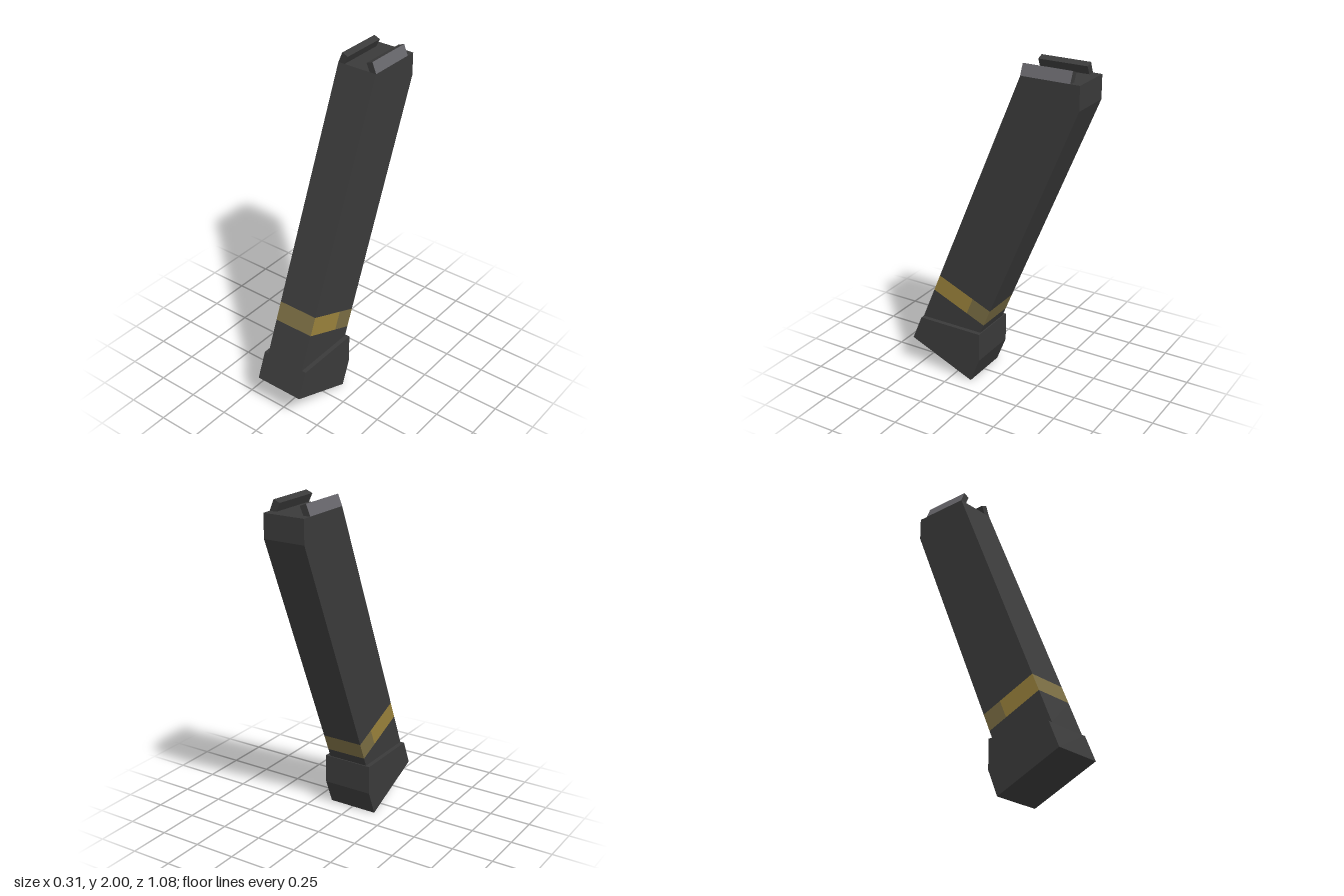
import * as THREE from 'three';

const flat = (name, color) => {
  const m = new THREE.MeshStandardMaterial({ color });
  m.name = name;
  return m;
};

export function createModel() {
  const body = flat('dark metal', 0x3a3a3a);
  const brass = flat('bright brass', 0x99813b);
  const dullBrass = flat('dull brass', 0x796c42);
  const railGrey = flat('rail grey', 0x66656a);

  const group = new THREE.Group();
  group.name = 'magazine';

  const shapeOf = pts => new THREE.Shape(pts.map(p => new THREE.Vector2(p[0], p[1])));

  // Side outline given as [z, y], extruded across x
  function slab(name, pts, width, materials) {
    const geo = new THREE.ExtrudeGeometry(shapeOf(pts), { depth: width, bevelEnabled: false });
    geo.translate(0, 0, -width / 2).rotateY(-Math.PI / 2);
    const mesh = new THREE.Mesh(geo, materials);
    mesh.name = name;
    group.add(mesh);
  }

  // Slanted casing edges: z at height y
  const slope = 2.418;
  const frontAt = y => [0.54 - (y - 0.175) / slope, y];
  const backAt = y => [0.07 - (y - 0.33) / slope, y];
  const mix = (a, b, t) => [a[0] + (b[0] - a[0]) * t, a[1] + (b[1] - a[1]) * t];

  // Foot of the magazine, wider than the casing
  slab('basePlate', [[0.54, 0.175], [0.125, 0], [0.063, 0.155], [0.063, 0.33], frontAt(0.33)], 0.306, body);

  // Casing, split where the brass band wraps round it
  const width = 0.252;
  const lowF = frontAt(0.53), lowB = backAt(0.385);
  const topF = frontAt(0.635), topB = backAt(0.49);
  const lowM = mix(lowF, lowB, 0.66), topM = mix(topF, topB, 0.66);
  slab('lowerCasing', [frontAt(0.33), backAt(0.33), lowB, lowF], width, body);
  slab('bandFront', [lowF, lowM, topM, topF], width, [brass, dullBrass]);
  slab('bandBack', [lowM, lowB, topB, topM], width, dullBrass);
  slab('upperCasing', [topF, topB, [-0.54, 1.8], [-0.54, 1.937], [-0.19, 1.937]], width, body);

  // Feed lips: leaning rails with a lighter outer face
  for (const s of [1, -1]) {
    const pts = [[0.126, 1.937], [0.1, 2], [0.062, 1.985], [0.084, 1.937]].map(p => [p[0] * s, p[1]]);
    const lip = new THREE.Mesh(
      new THREE.ExtrudeGeometry(shapeOf(pts), { depth: 0.295, bevelEnabled: false }).translate(0, 0, -0.485), body);
    lip.name = s > 0 ? 'leftFeedLip' : 'rightFeedLip';
    group.add(lip);

    const dx = -0.026, dy = 0.063;
    const face = new THREE.Mesh(new THREE.PlaneGeometry(0.295, Math.hypot(dx, dy)), railGrey);
    face.geometry.rotateY(s * Math.PI / 2).rotateZ(s * Math.atan2(-dx, dy));
    face.position.set(s * 0.1138, 1.969, -0.3375);
    face.name = s > 0 ? 'leftLipFace' : 'rightLipFace';
    group.add(face);
  }

  return group;
}
